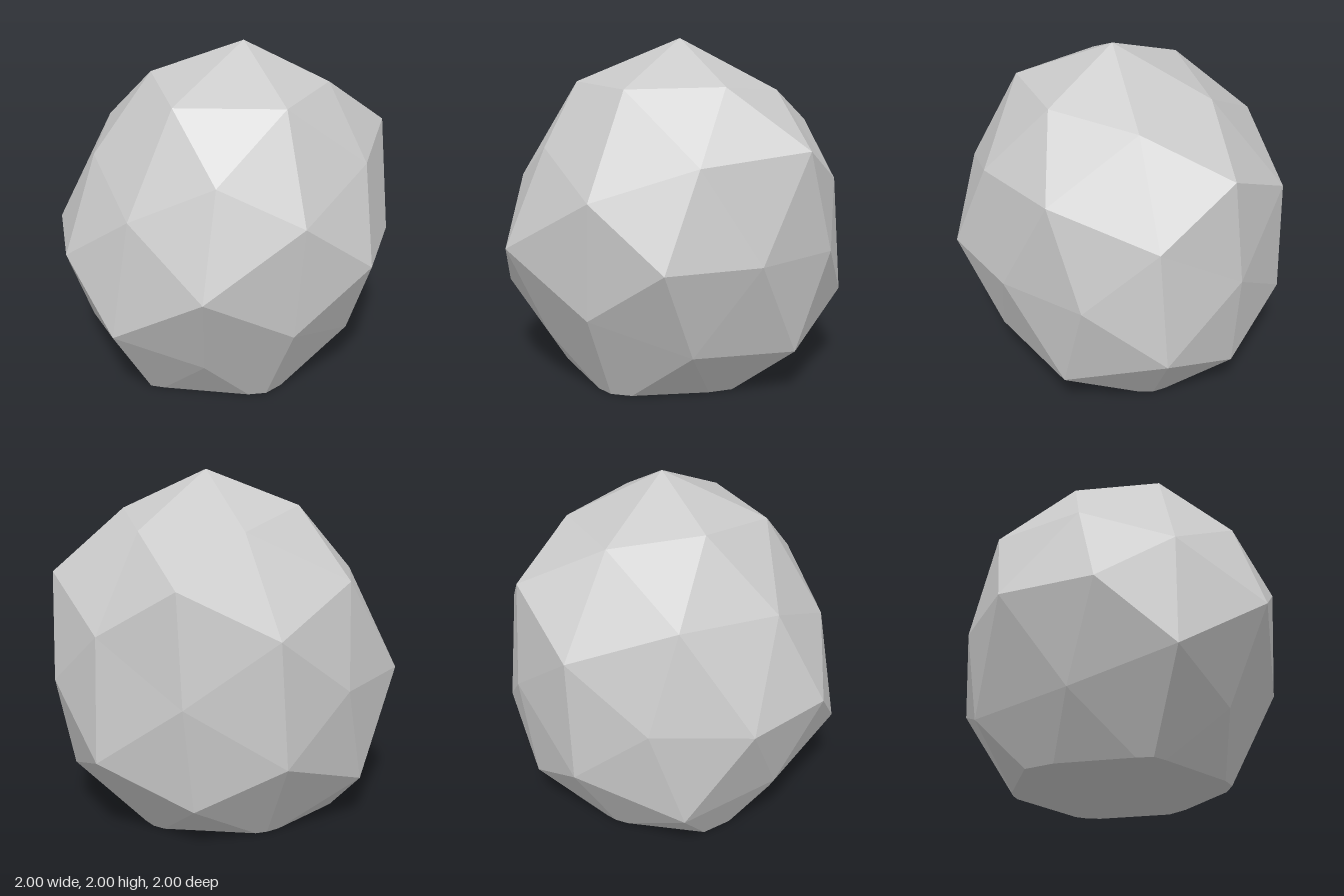
import * as THREE from 'three';

// Directions of one symmetry family, sign order: + then -, x slowest, z fastest.
function family(x, y, z, radii) {
  const signs = (v) => (v === 0 ? [0] : [1, -1]);
  const list = [];
  for (const sx of signs(x)) for (const sy of signs(y)) for (const sz of signs(z)) {
    list.push({ dir: new THREE.Vector3(sx * x, sy * y, sz * z).normalize(), r: radii[list.length] });
  }
  return list;
}

// Uneven radius of the boulder for every corner of a subdivided icosahedron
const corners = [
  ...family(0.526, 0.851, 0, [0.965, 1.0, 1.0, 1.04]),
  ...family(0, 0.526, 0.851, [0.967, 1.053, 0.94, 1.028]),
  ...family(0.851, 0, 0.526, [1.02, 0.98, 1.021, 0.966]),
  ...family(1, 0, 0, [0.95, 1.05]),
  ...family(0, 1, 0, [1.03, 1.03]),
  ...family(0, 0, 1, [1.055, 0.945]),
  ...family(0.309, 0.809, 0.5, [1.006, 0.947, 1.06, 1.01, 0.99, 0.955, 1.03, 1.0]),
  ...family(0.5, 0.309, 0.809, [0.975, 0.963, 0.965, 1.045, 0.945, 1.03, 1.035, 1.02]),
  ...family(0.809, 0.5, 0.309, [0.953, 1.053, 0.96, 1.035, 0.96, 1.03, 0.943, 1.045]),
];

// Push a corner out to its radius, stretch it upward and lean it slightly
function shape(v) {
  let best = corners[0];
  for (const c of corners) if (c.dir.dot(v) > best.dir.dot(v)) best = c;
  const p = best.dir.clone().multiplyScalar(best.r);
  const dy = p.y * 1.11;
  return new THREE.Vector3(0.05 + 0.065 * dy + p.x, 0.855 + dy, -0.055 - 0.055 * p.x + p.z);
}

// Keep the part of a polygon above the ground; collect the points on the cut
function clipToGround(poly, cut) {
  const out = [];
  poly.forEach((a, i) => {
    const b = poly[(i + 1) % poly.length];
    if (a.y >= 0) out.push(a);
    if ((a.y >= 0) !== (b.y >= 0)) {
      const p = a.clone().lerp(b, a.y / (a.y - b.y));
      p.y = 0;
      out.push(p);
      cut.push(p);
    }
  });
  return out;
}

// Separate triangles, so every facet stays flat
function facetMesh(name, points, material) {
  const geometry = new THREE.BufferGeometry().setFromPoints(points);
  geometry.computeVertexNormals();
  const mesh = new THREE.Mesh(geometry, material);
  mesh.name = name;
  return mesh;
}

export function createModel() {
  const group = new THREE.Group();
  group.name = 'boulder';
  const stone = new THREE.MeshStandardMaterial({ color: 0xcacaca });
  stone.name = 'pale stone grey';

  // Faceted stone body, cut off level with the ground
  const pos = new THREE.IcosahedronGeometry(1, 1).attributes.position;
  const body = [];
  const cut = [];
  for (let i = 0; i < pos.count; i += 3) {
    const tri = [0, 1, 2].map((k) => shape(new THREE.Vector3().fromBufferAttribute(pos, i + k)));
    const poly = clipToGround(tri, cut);
    for (let k = 1; k + 1 < poly.length; k++) body.push(poly[0], poly[k], poly[k + 1]);
  }
  group.add(facetMesh('stoneBody', body, stone));

  // Flat underside, a fan facing down
  const mid = new THREE.Vector3();
  cut.forEach((p) => mid.add(p));
  mid.divideScalar(cut.length);
  const angle = (p) => Math.atan2(p.z - mid.z, p.x - mid.x);
  cut.sort((a, b) => angle(a) - angle(b));
  const base = [];
  cut.forEach((p, i) => {
    const q = cut[(i + 1) % cut.length];
    if (p.distanceTo(q) > 1e-5) base.push(mid, p, q);
  });
  group.add(facetMesh('flatBase', base, stone));

  return group;
}
